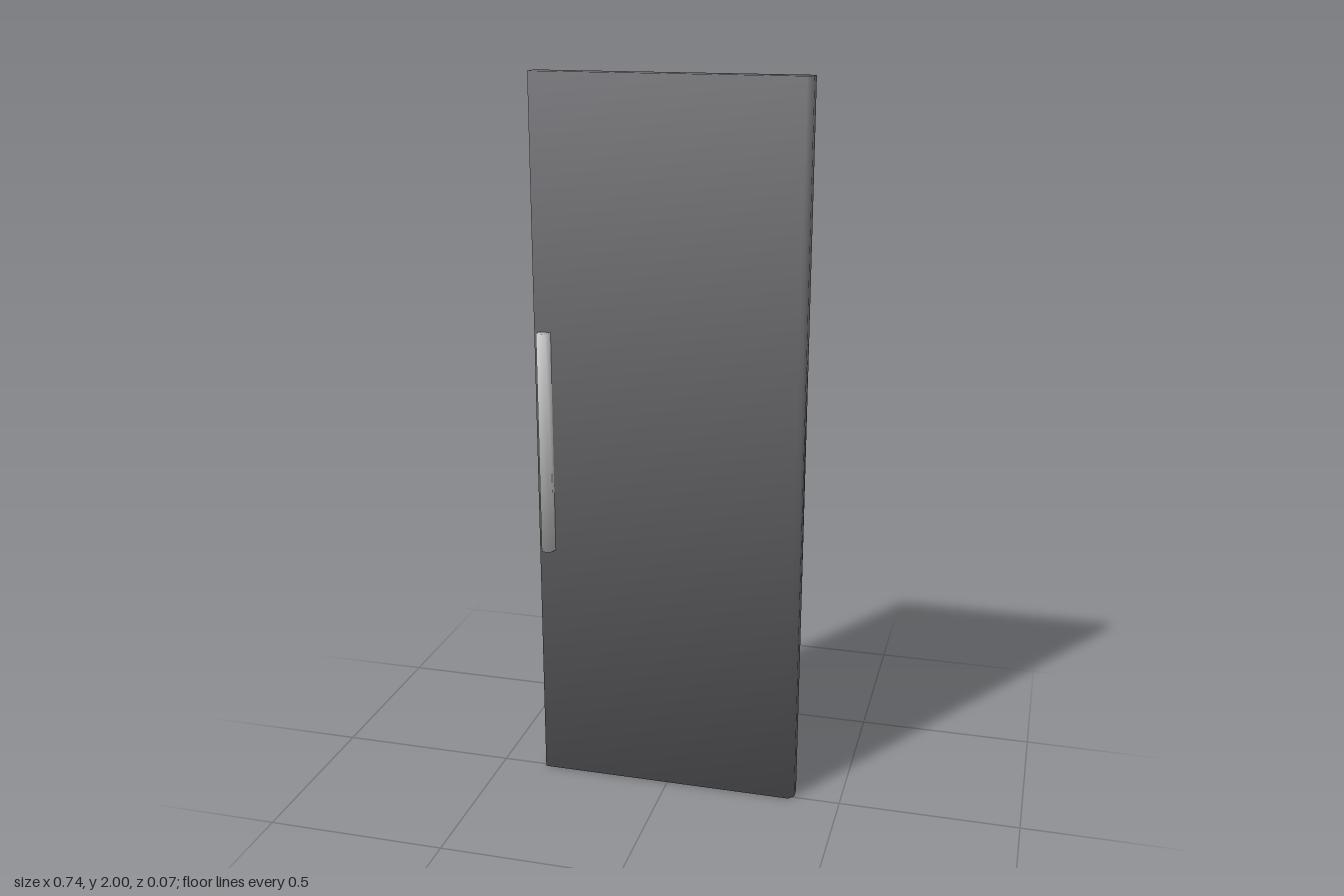
import * as THREE from 'three';

// Vertical prism from a floor-plan outline of [x, z] points
function prism(outline, y0, y1) {
  const shape = new THREE.Shape(outline.map(([x, z]) => new THREE.Vector2(x, -z)));
  const geo = new THREE.ExtrudeGeometry(shape, { depth: y1 - y0, bevelEnabled: false });
  geo.rotateX(-Math.PI / 2);
  geo.translate(0, y0, 0);
  return softenCorners(geo);
}

// Smooth shading: each corner takes the even average of the faces that meet there
function softenCorners(geo) {
  const pos = geo.attributes.position;
  const flat = geo.attributes.normal;
  const corners = new Map();
  const key = (i) => [pos.getX(i), pos.getY(i), pos.getZ(i)].map((v) => Math.round(v * 1e4)).join();
  for (let i = 0; i < pos.count; i++) {
    const n = new THREE.Vector3().fromBufferAttribute(flat, i);
    const list = corners.get(key(i)) ?? [];
    if (!list.some((m) => m.dot(n) > 0.999)) list.push(n);
    corners.set(key(i), list);
  }
  for (let i = 0; i < pos.count; i++) {
    const n = new THREE.Vector3();
    corners.get(key(i)).forEach((m) => n.add(m));
    n.normalize();
    flat.setXYZ(i, n.x, n.y, n.z);
  }
  return geo;
}

export function createModel() {
  const group = new THREE.Group();
  group.name = 'door';

  const add = (name, geo, color) => {
    const mesh = new THREE.Mesh(geo, new THREE.MeshStandardMaterial({ color }));
    mesh.name = name;
    group.add(mesh);
  };

  // Tall slab with one chamfered front edge
  add('doorPanel', prism([
    [-0.37, -0.035], [-0.37, 0.011], [0.355, 0.011], [0.37, -0.005], [0.37, -0.035],
  ], 0, 2), 0x6c6c70);

  // Slim pull bar with a slanted inner side
  add('handle', prism([
    [-0.357, 0.011], [-0.357, 0.035], [-0.333, 0.035], [-0.324, 0.011],
  ], 0.69, 1.317), 0xcccccc);

  return group;
}
